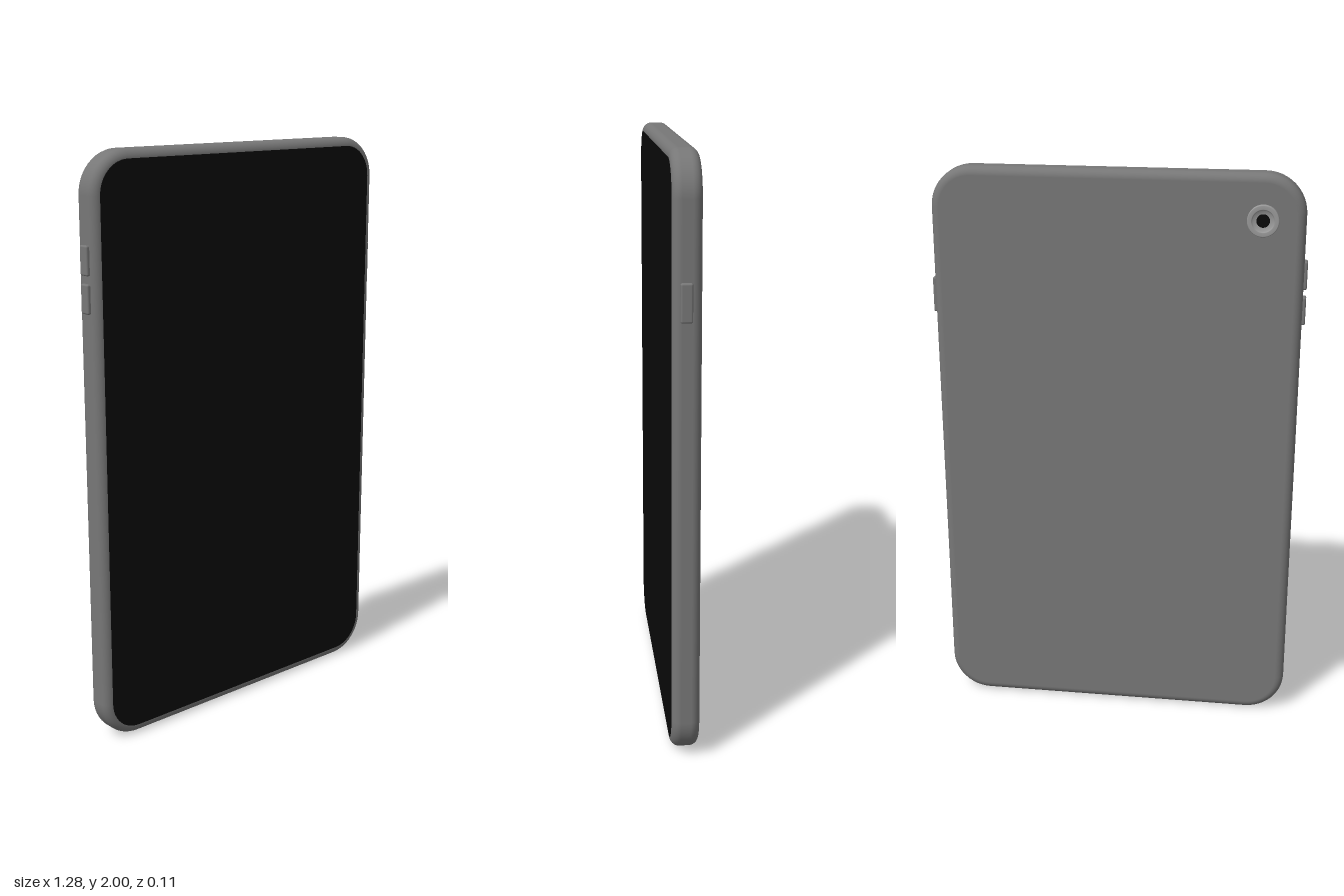
import * as THREE from 'three';
import { RoundedBoxGeometry } from 'three/addons/geometries/RoundedBoxGeometry.js';

const HW = 0.628, HH = 1, R = 0.14;         // half width, half height, corner radius
const BEVEL = 0.03, BACK = -0.04, FRONT = 0.053;
const CX = -0.002, PORT_HALF = 0.058;

// Outline as arc centres plus outward directions, counter-clockwise from the front
function outline() {
  const pts = [];
  const add = (cx, cy, a) => pts.push({ cx, cy, nx: Math.cos(a), ny: Math.sin(a) });
  [[1, 1], [-1, 1], [-1, -1], [1, -1]].forEach(([sx, sy], q) => {
    for (let i = 0; i <= 12; i++) add(sx * (HW - R), sy * (HH - R), (q + i / 12) * Math.PI / 2);
    if (q === 2) for (const s of [-1, 1]) add(s * PORT_HALF, -(HH - R), 1.5 * Math.PI);
  });
  return pts;
}

// Rounded edge profile from back to front: angle, depth and inset
function profile() {
  const rows = [];
  const n = 8;
  for (let i = -n; i <= n; i++) {
    const a = (i / n) * Math.PI / 2;
    const row = c => rows.push({ i, a, z: c + Math.sin(a) * BEVEL, inset: BEVEL * (1 - Math.cos(a)) });
    if (i <= 0) row(BACK + BEVEL);
    if (i >= 0) row(FRONT - BEVEL);
  }
  return rows;
}

// Edge band of the case, with an opening left for the port
function edgeBand(pts, rows) {
  const pos = [], nor = [], idx = [], N = pts.length;
  for (const r of rows) for (const p of pts) {
    const d = R - r.inset;
    pos.push(p.cx + p.nx * d, p.cy + p.ny * d, r.z);
    nor.push(p.nx * Math.cos(r.a), p.ny * Math.cos(r.a), Math.sin(r.a));
  }
  const portCol = pts.findIndex(p => p.cx === -PORT_HALF);
  for (let j = 0; j < rows.length - 1; j++) for (let k = 0; k < N; k++) {
    if (k === portCol && rows[j].i >= -2 && rows[j + 1].i <= 2) continue;
    const a = j * N + k, b = j * N + (k + 1) % N;
    idx.push(a, b, b + N, a, b + N, a + N);
  }
  const g = new THREE.BufferGeometry();
  g.setAttribute('position', new THREE.Float32BufferAttribute(pos, 3));
  g.setAttribute('normal', new THREE.Float32BufferAttribute(nor, 3));
  g.setIndex(idx);
  return g;
}

export function createModel() {
  const group = new THREE.Group();
  const mat = (color, side = THREE.FrontSide) => new THREE.MeshStandardMaterial({ color, side });
  const caseMat = mat(0x777777), ringMat = mat(0x999999), black = mat(0x0a0a0a);
  const add = (name, geo, material, x, y, z) => {
    const m = new THREE.Mesh(geo, material);
    m.name = name;
    m.position.set(x, y, z);
    group.add(m);
    return m;
  };

  // Case edge, flat back and screen share one outline
  const pts = outline(), rows = profile();
  add('caseEdge', edgeBand(pts, rows), caseMat, CX, HH, 0);
  const d = R - BEVEL;
  const face = new THREE.ShapeGeometry(new THREE.Shape(
    pts.map(p => new THREE.Vector2(p.cx + p.nx * d, p.cy + p.ny * d))));
  add('screen', face, black, CX, HH, FRONT);
  add('backPanel', face, caseMat, CX, HH, BACK).rotation.y = Math.PI;

  // Charging port: a box without its bottom, set into the lower edge
  const lo = rows.find(r => r.i === -2), hi = rows.find(r => r.i === 2);
  const depth = 0.03;
  const port = new THREE.BoxGeometry(PORT_HALF * 2, depth, hi.z - lo.z);
  const ids = Array.from(port.index.array);
  ids.splice(18, 6);
  port.setIndex(ids);
  port.clearGroups();
  add('chargingPort', port, mat(0x777777, THREE.DoubleSide), CX, lo.inset + depth / 2, (lo.z + hi.z) / 2);

  // Side buttons
  const button = (name, x, y, h) =>
    add(name, new RoundedBoxGeometry(0.03, h, 0.038, 3, 0.006), caseMat, x, y, 0.01);
  button('powerButton', 0.623, 1.55, 0.122);
  button('volumeUpButton', -0.626, 1.66, 0.096);
  button('volumeDownButton', -0.626, 1.538, 0.096);

  // Rear camera: raised ring with a sunken lens
  const ring = [[0.053, -0.002], [0.053, 0.010], [0.052, 0.012], [0.050, 0.013],
    [0.039, 0.013], [0.037, 0.012], [0.034, 0.006], [0.020, 0.004]];
  add('cameraRing', new THREE.LatheGeometry(ring.map(p => new THREE.Vector2(...p)), 40),
    ringMat, -0.489, 1.848, BACK).rotation.x = -Math.PI / 2;
  add('cameraLens', new THREE.CylinderGeometry(0.022, 0.022, 0.008, 32),
    black, -0.489, 1.848, BACK - 0.003).rotation.x = -Math.PI / 2;

  return group;
}
